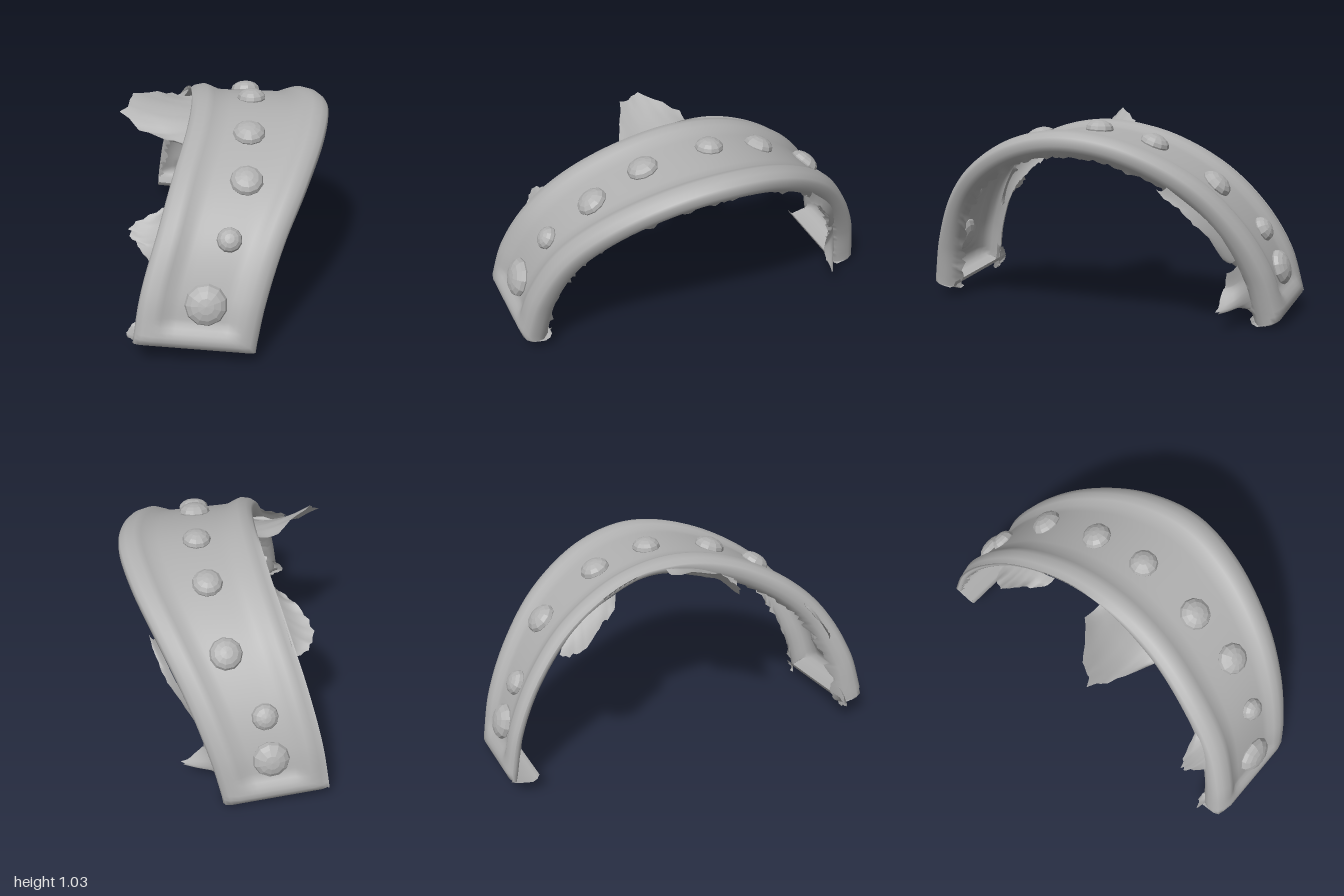
import * as THREE from 'three';

const V = (x, y, z) => new THREE.Vector3(x, y, z);

// Arch stations, front to back: z, y, left edge x, right edge x, edge-to-edge tilt
const stations = [
  [0.998, 0.12, -0.44, 0.13, 0.03], [0.938, 0.35, -0.40, 0.18, 0.025],
  [0.805, 0.60, -0.325, 0.27, 0.02], [0.60, 0.79, -0.26, 0.38, 0.015],
  [0.30, 0.935, -0.19, 0.485, 0.014], [0, 0.982, -0.165, 0.528, 0.014],
  [-0.30, 0.93, -0.18, 0.485, 0.014], [-0.60, 0.77, -0.235, 0.375, 0.015],
  [-0.805, 0.555, -0.30, 0.265, 0.02], [-0.935, 0.32, -0.355, 0.18, 0.025],
  [-0.998, 0.08, -0.39, 0.12, 0.03],
];
const edgeA = new THREE.CatmullRomCurve3(stations.map(s => V(s[2], s[1] + s[4], s[0])));
const edgeB = new THREE.CatmullRomCurve3(stations.map(s => V(s[3], s[1] - s[4], s[0])));

// Seeded noise in -1..1 for torn edges
const noise = n => {
  const v = Math.sin(n * 127.1 + 3.7) * 43758.5453;
  return 2 * (v - Math.floor(v)) - 1;
};

// Local frame of the arch at parameter t
function frameAt(t) {
  const a = edgeA.getPoint(t), b = edgeB.getPoint(t);
  const d = edgeA.getTangent(t).add(edgeB.getTangent(t));
  d.x = 0;
  d.normalize();
  return { a, b, along: d, inward: V(0, d.z, -d.y) };
}

// Point at a given x, sunk by depth below the rim surface
function place(f, x, depth) {
  const s = (x - f.a.x) / (f.b.x - f.a.x);
  return f.a.clone().lerp(f.b, s).addScaledVector(f.inward, depth);
}

// Arch parameter for a given z (z falls steadily along the arch)
function paramAtZ(z) {
  let lo = 0, hi = 1;
  for (let i = 0; i < 30; i++) {
    const mid = (lo + hi) / 2;
    if (edgeA.getPoint(mid).z > z) lo = mid; else hi = mid;
  }
  return lo;
}

// Skin a grid of points
function skin(rows) {
  const n = rows[0].length, index = [];
  for (let i = 0; i < rows.length - 1; i++) {
    for (let j = 0; j < n - 1; j++) {
      const a = i * n + j, c = a + n;
      index.push(a, a + 1, c, a + 1, c + 1, c);
    }
  }
  const g = new THREE.BufferGeometry().setFromPoints(rows.flat());
  g.setIndex(index);
  g.computeVertexNormals();
  return g;
}

// Rim section: distance in from the edge, depth
const rim = [[0.065, 0.155], [0.035, 0.145], [0.012, 0.122], [0, 0.09], [0, 0.055],
  [0.008, 0.03], [0.035, 0.01], [0.08, 0], [0.115, 0.012], [0.15, 0.028]];

function bandGeometry() {
  const N = 110, rows = [];
  const row = (t, floor, shift, k) => {
    const f = frameAt(t), out = [];
    const endFade = THREE.MathUtils.smoothstep(Math.min(t, 1 - t), 0.02, 0.05);
    const wall = 1 - 0.65 * THREE.MathUtils.smoothstep(t, 0.42, 0.58);
    const thick = 1 - 0.2 * Math.sin(Math.PI * t);
    const add = (x, d) => out.push(place(f, x, Math.max(d, floor)).addScaledVector(f.along, shift));
    const depth = (d, w) => (d > 0.04 ? d * thick : w > 0.1 ? d * endFade : d);
    rim.forEach(([w, d], j) => {
      const rag = j === 0 ? noise(k) * 0.022 : 0;
      add(f.a.x + (j < 3 ? w * wall : w) + rag, d > 0.04 ? depth(d, w) * wall + rag * 0.5 : depth(d, w));
    });
    for (let j = 1; j < 8; j++) {
      add(THREE.MathUtils.lerp(f.a.x + 0.15, f.b.x - 0.15, j / 8), depth(0.03, 1));
    }
    [...rim].reverse().forEach(([w, d], j) => {
      const rag = j === rim.length - 1 ? noise(k + 500) * 0.022 : 0;
      add(f.b.x - w + rag, depth(d, w) + Math.abs(rag) * 0.8);
    });
    rows.push(out);
  };
  // Rolled front end, arch, rolled back end
  row(0, 0.155, 0.035, 1); row(0, 0.15, 0.01, 2); row(0, 0.13, -0.008, 3);
  row(0, 0.05, -0.012, 4); row(0, 0.02, -0.006, 5);
  for (let i = 1; i < N; i++) row(i / N, 0, 0, i + 10);
  row(1, 0.02, 0.006, 201); row(1, 0.05, 0.012, 202); row(1, 0.13, 0.008, 203);
  row(1, 0.15, -0.01, 204); row(1, 0.155, -0.035, 205);
  return skin(rows);
}

// Torn scrap lofted from a root line to a ragged tip line
function scrapGeometry(root, tip, seed) {
  const r = new THREE.CatmullRomCurve3(root.map(p => V(...p)));
  const e = new THREE.CatmullRomCurve3(tip.map(p => V(...p)));
  const rows = [];
  for (let i = 0; i <= 18; i++) {
    const a = r.getPoint(i / 18), b = e.getPoint(i / 18);
    b.lerp(a, 0.07 * (1 + noise(seed + i)));
    b.y += 0.008 * noise(seed + i + 60);
    const line = [];
    for (let j = 0; j <= 4; j++) {
      const p = a.clone().lerp(b, j / 4);
      p.y -= 0.015 * Math.sin(Math.PI * j / 4);
      line.push(p);
    }
    rows.push(line);
  }
  return skin(rows);
}

export function createModel() {
  const model = new THREE.Group();
  model.name = 'studdedArchBand';
  const grey = new THREE.MeshStandardMaterial({ color: 0xb0b0b0, side: THREE.DoubleSide });
  grey.name = 'grey';
  const add = (name, geometry) => {
    const mesh = new THREE.Mesh(geometry, grey);
    mesh.name = name;
    model.add(mesh);
    return mesh;
  };

  add('band', bandGeometry());

  // Faceted studs: x, z, radius
  const studs = [[-0.10, 0.948, 0.10], [0.01, 0.81, 0.06], [0.095, 0.59, 0.08],
    [0.115, 0.32, 0.08], [0.14, -0.04, 0.072], [0.12, -0.34, 0.076],
    [0.07, -0.66, 0.08], [-0.09, -0.86, 0.065], [-0.11, -0.95, 0.09]];
  studs.forEach(([x, z, r], i) => {
    const f = frameAt(paramAtZ(z));
    let g = new THREE.SphereGeometry(1, 11, 8);
    g.scale(r, 0.035 + r * 0.15, r);
    g = g.toNonIndexed();
    g.computeVertexNormals();
    const m = add('stud' + (i + 1), g);
    const up = f.inward.clone().negate();
    const side = V(1, 0, 0);
    m.quaternion.setFromRotationMatrix(
      new THREE.Matrix4().makeBasis(side, up, side.clone().cross(up)));
    m.position.copy(place(f, x, 0.026));
  });

  // Torn scraps hanging from the edges
  add('topScrap', scrapGeometry(
    [[-0.15, 0.965, -0.06], [-0.16, 0.92, 0.14], [-0.18, 0.85, 0.31]],
    [[-0.28, 0.98, -0.07], [-0.45, 1.03, 0.08], [-0.53, 0.99, 0.15], [-0.42, 0.88, 0.22], [-0.20, 0.85, 0.31]], 11));
  add('frontScrap', scrapGeometry(
    [[-0.27, 0.70, 0.68], [-0.31, 0.58, 0.76], [-0.35, 0.46, 0.82]],
    [[-0.30, 0.68, 0.66], [-0.46, 0.59, 0.71], [-0.43, 0.54, 0.75], [-0.35, 0.47, 0.80]], 41));
  add('lowerFrontScrap', scrapGeometry(
    [[-0.39, 0.22, 0.87], [-0.40, 0.14, 0.88], [-0.36, 0.08, 0.88]],
    [[-0.41, 0.20, 0.84], [-0.48, 0.12, 0.86], [-0.40, 0.07, 0.87]], 71));
  add('backScrap', scrapGeometry(
    [[-0.185, 0.89, -0.34], [-0.21, 0.82, -0.50], [-0.24, 0.72, -0.64]],
    [[-0.24, 0.83, -0.37], [-0.33, 0.79, -0.48], [-0.37, 0.70, -0.60], [-0.27, 0.67, -0.67]], 101));
  add('backInnerScrap', scrapGeometry(
    [[0.17, 0.34, -0.80], [0.13, 0.22, -0.83], [0.10, 0.10, -0.85]],
    [[0.20, 0.28, -0.74], [0.20, 0.19, -0.72], [0.31, 0.10, -0.72], [0.15, 0.13, -0.78]], 131));
  add('backEdgeScrap', scrapGeometry(
    [[0.39, 0.71, -0.50], [0.30, 0.55, -0.67], [0.19, 0.36, -0.79]],
    [[0.42, 0.70, -0.45], [0.38, 0.59, -0.57], [0.31, 0.48, -0.66], [0.20, 0.33, -0.74]], 161));

  return model;
}
